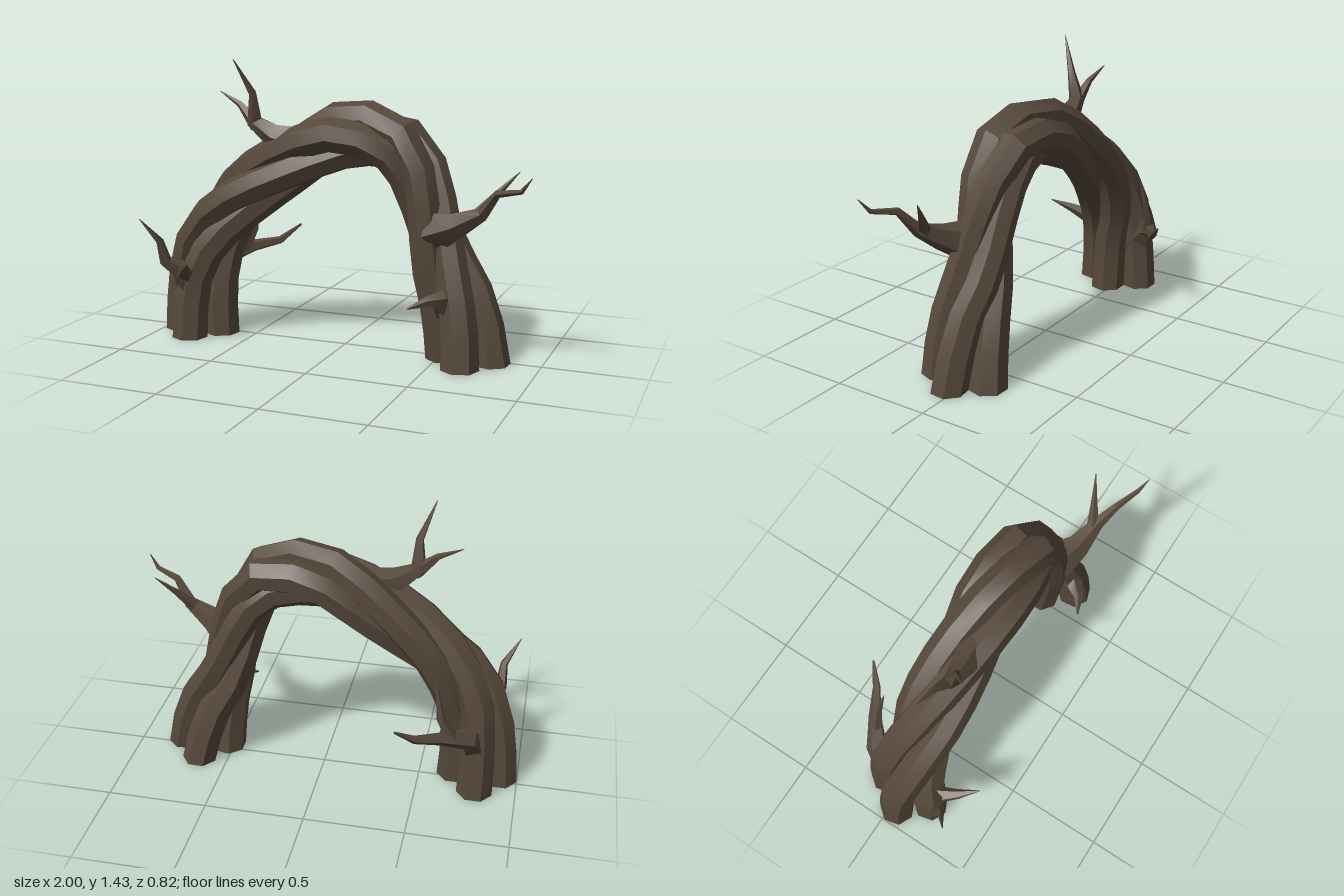
import * as THREE from 'three';
import { toCreasedNormals } from 'three/addons/utils/BufferGeometryUtils.js';

const V = (x, y, z) => new THREE.Vector3(x, y, z);

// Capped tube through a list of points with one radius per point
function limb(points, radii, sides, grounded = false) {
  const pos = [], index = [];
  const n = points.length;
  let U = V(0, 0, 1);
  points.forEach((p, i) => {
    const T = points[Math.min(i + 1, n - 1)].clone().sub(points[Math.max(i - 1, 0)]).normalize();
    U = U.clone().addScaledVector(T, -U.dot(T)).normalize();
    const W = T.clone().cross(U);
    for (let j = 0; j < sides; j++) {
      const a = (j / sides) * Math.PI * 2;
      const q = p.clone().addScaledVector(U, Math.cos(a) * radii[i]).addScaledVector(W, Math.sin(a) * radii[i]);
      if (grounded && (i === 0 || i === n - 1)) q.y = 0;
      pos.push(q.x, q.y, q.z);
    }
  });
  for (let i = 0; i < n - 1; i++) {
    for (let j = 0; j < sides; j++) {
      const a = i * sides + j, b = i * sides + (j + 1) % sides;
      index.push(a, b, b + sides, a, b + sides, a + sides);
    }
  }
  // end caps
  const last = (n - 1) * sides;
  for (let j = 1; j < sides - 1; j++) {
    index.push(0, j + 1, j, last, last + j, last + j + 1);
  }
  const g = new THREE.BufferGeometry();
  g.setAttribute('position', new THREE.Float32BufferAttribute(pos, 3));
  g.setIndex(index);
  return toCreasedNormals(g, 0.5);
}

// Linear lookup in an evenly spaced list
function sample(list, u) {
  const f = u * (list.length - 1), i = Math.min(Math.floor(f), list.length - 2);
  return THREE.MathUtils.lerp(list[i], list[i + 1], f - i);
}

export function createModel() {
  const model = new THREE.Group();
  model.name = 'twistedArch';
  const bark = new THREE.MeshStandardMaterial({ color: 0x56483b });
  bark.name = 'bark';

  const add = (name, geometry, parent) => {
    const mesh = new THREE.Mesh(geometry, bark);
    mesh.name = name;
    parent.add(mesh);
  };

  // Arch centre line, from the right foot to the left foot
  const centre = new THREE.CatmullRomCurve3([
    [-0.795, 0], [-0.787, 0.25], [-0.74, 0.47], [-0.59, 0.69], [-0.28, 0.92], [0.05, 1.075],
    [0.315, 1.015], [0.425, 0.8], [0.51, 0.5], [0.605, 0.25], [0.648, 0],
  ].map(([x, y]) => V(x, y, 0.035)));

  // Four trunks wound once around the centre line: winding in degrees, distance and radius
  const wind = [0, 4, 38, 88, 127, 168, 212, 258, 305, 345, 360];
  const spread = [0.115, 0.1, 0.088, 0.082, 0.08, 0.083, 0.079, 0.06, 0.07, 0.095, 0.118];
  const thick = [0.092, 0.088, 0.085, 0.085, 0.086, 0.088, 0.086, 0.078, 0.08, 0.087, 0.094];
  const trunks = new THREE.Group();
  trunks.name = 'trunks';
  model.add(trunks);
  const steps = 18;
  for (let k = 0; k < 4; k++) {
    const points = [], radii = [];
    for (let i = 0; i <= steps; i++) {
      const u = i / steps;
      const t = centre.getTangentAt(u);
      const a = THREE.MathUtils.degToRad(k * 90 + sample(wind, u));
      const r = sample(spread, u);
      const p = centre.getPointAt(u)
        .addScaledVector(V(-t.y, t.x, 0), Math.cos(a) * r)
        .add(V(0, 0, Math.sin(a) * r * 1.18));
      if (i === 0 || i === steps) p.y = 0;
      points.push(p);
      radii.push(sample(thick, u));
    }
    add('trunk' + (k + 1), limb(points, radii, 7, true), trunks);
  }

  // Bare branches: each row is x, y, z, radius
  const branches = {
    topBranch: [[-0.18, 1.02, 0.07, 0.085], [-0.34, 1.05, 0.09, 0.065], [-0.44, 1.12, 0.1, 0.042],
      [-0.435, 1.26, 0.13, 0.02], [-0.5, 1.43, 0.21, 0.002]],
    topTwig: [[-0.43, 1.1, 0.1, 0.038], [-0.53, 1.2, 0.08, 0.017], [-0.65, 1.26, 0.06, 0.002]],
    rightFrontBranch: [[-0.79, 0.22, 0.12, 0.09], [-0.8, 0.35, 0.21, 0.06], [-0.87, 0.41, 0.27, 0.033],
      [-0.875, 0.52, 0.31, 0.02], [-0.95, 0.64, 0.375, 0.002]],
    rightFrontTwig: [[-0.8, 0.33, 0.2, 0.05], [-0.74, 0.39, 0.31, 0.026], [-0.67, 0.44, 0.405, 0.002]],
    rightBackBranch: [[-0.79, 0.24, -0.07, 0.08], [-0.75, 0.36, -0.17, 0.055], [-0.63, 0.405, -0.26, 0.033],
      [-0.51, 0.43, -0.33, 0.021], [-0.42, 0.51, -0.405, 0.006]],
    rightBackTwig: [[-0.68, 0.38, -0.22, 0.04], [-0.62, 0.5, -0.24, 0.024], [-0.58, 0.7, -0.21, 0.002]],
    leftBranch: [[0.5, 0.64, 0.1, 0.105], [0.62, 0.685, 0.16, 0.065], [0.75, 0.755, 0.19, 0.034],
      [0.83, 0.86, 0.24, 0.019], [0.95, 0.885, 0.29, 0.012], [1.0, 0.95, 0.315, 0.002]],
    leftTwig: [[0.72, 0.74, 0.18, 0.034], [0.8, 0.84, 0.13, 0.017], [0.89, 0.94, 0.075, 0.002]],
    leftFrontStub: [[0.58, 0.26, 0.13, 0.065], [0.555, 0.34, 0.21, 0.046], [0.51, 0.335, 0.26, 0.026],
      [0.43, 0.305, 0.305, 0.004]],
  };
  const boughs = new THREE.Group();
  boughs.name = 'branches';
  model.add(boughs);
  for (const [name, rows] of Object.entries(branches)) {
    add(name, limb(rows.map(([x, y, z]) => V(x, y, z)), rows.map((r) => r[3]), 5), boughs);
  }
  return model;
}
